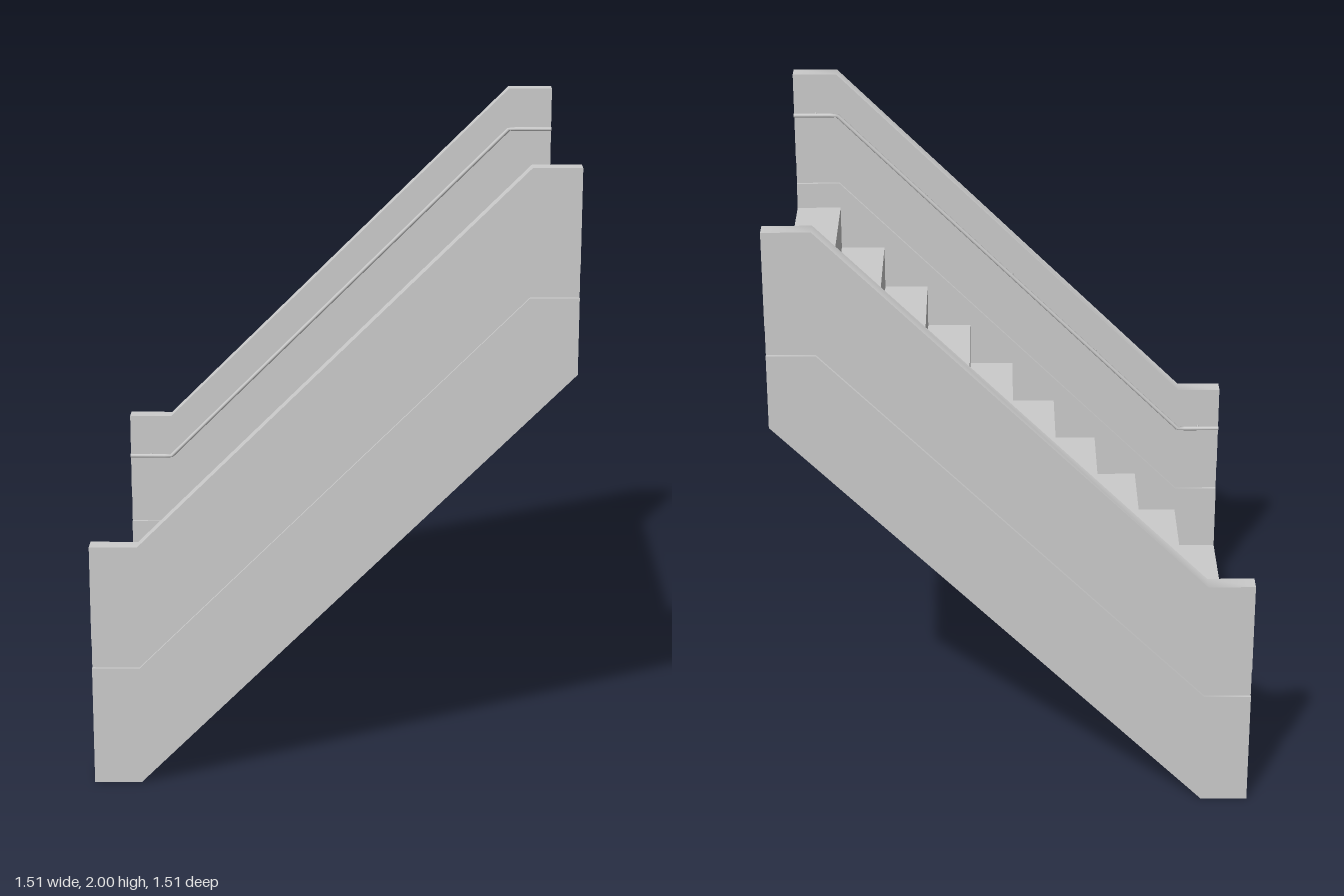
import * as THREE from 'three';
import { toCreasedNormals } from 'three/addons/utils/BufferGeometryUtils.js';

const HALF = 0.755, BEND = 0.605, RISE = 1.21;
const IN = 0.70, OUT = 0.755, STEPS = 10;

export function createModel() {
  const group = new THREE.Group();
  group.name = 'staircase';
  const grey = new THREE.MeshStandardMaterial({ color: 0xcccccc });

  function add(parent, geometry, name) {
    const mesh = new THREE.Mesh(geometry, grey);
    mesh.name = name;
    parent.add(mesh);
    return mesh;
  }

  // Side profile pushed out between two depths; 45 degree bends stay smooth
  function slab(points, z0, z1) {
    const shape = new THREE.Shape(points.map(([x, y]) => new THREE.Vector2(x, y)));
    const geo = new THREE.ExtrudeGeometry(shape, { depth: z1 - z0, bevelEnabled: false });
    geo.translate(0, 0, z0);
    return toCreasedNormals(geo, THREE.MathUtils.degToRad(50));
  }

  // Line that runs level, climbs the flight, then runs level again
  const climb = (y) => [[-HALF, y], [-BEND, y], [BEND, y + RISE], [HALF, y + RISE]];
  const underside = [[-HALF, 0], [-BEND, 0], [HALF, HALF + BEND]];
  const strip = (low, high) => [...low, ...[...high].reverse()];

  // Solid flight of steps with a sloping underside
  const size = 2 * HALF / STEPS;
  const profile = [...underside];
  for (let i = STEPS - 1; i >= 0; i--) {
    const x = -HALF + i * size, y = (i + 1) * size;
    profile.push([x + size, y], [x, y]);
  }
  add(group, slab(profile, -IN, IN), 'steps');

  // Height of the handrail at a given x
  const railY = (x) => 0.65 + THREE.MathUtils.clamp(x + BEND, 0, RISE);
  const railZ = 0.677;

  for (const side of [1, -1]) {
    const label = side > 0 ? 'front' : 'back';
    const place = (points, z0, z1) =>
      side > 0 ? slab(points, z0, z1) : slab(points, -z1, -z0);

    // Side wall: two full panels with a recessed band between them
    const wall = new THREE.Group();
    wall.name = label + 'Wall';
    group.add(wall);
    const top = [[-HALF, 0.795], [-BEND, 0.795], [BEND, 2], [HALF, 2]];
    add(wall, place(strip(underside, climb(0.39)), IN, OUT), 'lowerPanel');
    add(wall, place(strip(climb(0.39), climb(0.49)), IN + 0.01, OUT - 0.01), 'recessedBand');
    add(wall, place(strip(climb(0.49), top), IN, OUT), 'upperPanel');

    // Handrail on the inner face
    const rail = new THREE.Group();
    rail.name = label + 'Handrail';
    group.add(rail);
    const path = new THREE.CurvePath();
    const pts = climb(0.65).map(([x, y]) => new THREE.Vector3(x, y, side * railZ));
    for (let i = 0; i < 3; i++) path.add(new THREE.LineCurve3(pts[i], pts[i + 1]));
    add(rail, new THREE.TubeGeometry(path, 80, 0.007, 10), 'rail');
    for (const end of [-1, 1]) {
      const cap = add(rail, new THREE.CircleGeometry(0.007, 10), 'railEnd');
      cap.position.set(end * HALF, railY(end * HALF), side * railZ);
      cap.rotation.y = end * Math.PI / 2;
    }

    // Brackets from rail to wall
    for (const x of [-0.68, -0.3, 0, 0.3, 0.68]) {
      const bracket = add(rail, new THREE.CylinderGeometry(0.004, 0.004, IN - railZ + 0.004, 8), 'bracket');
      bracket.rotation.x = Math.PI / 2;
      bracket.position.set(x, railY(x), side * (railZ + IN + 0.004) / 2);
    }
  }
  return group;
}
